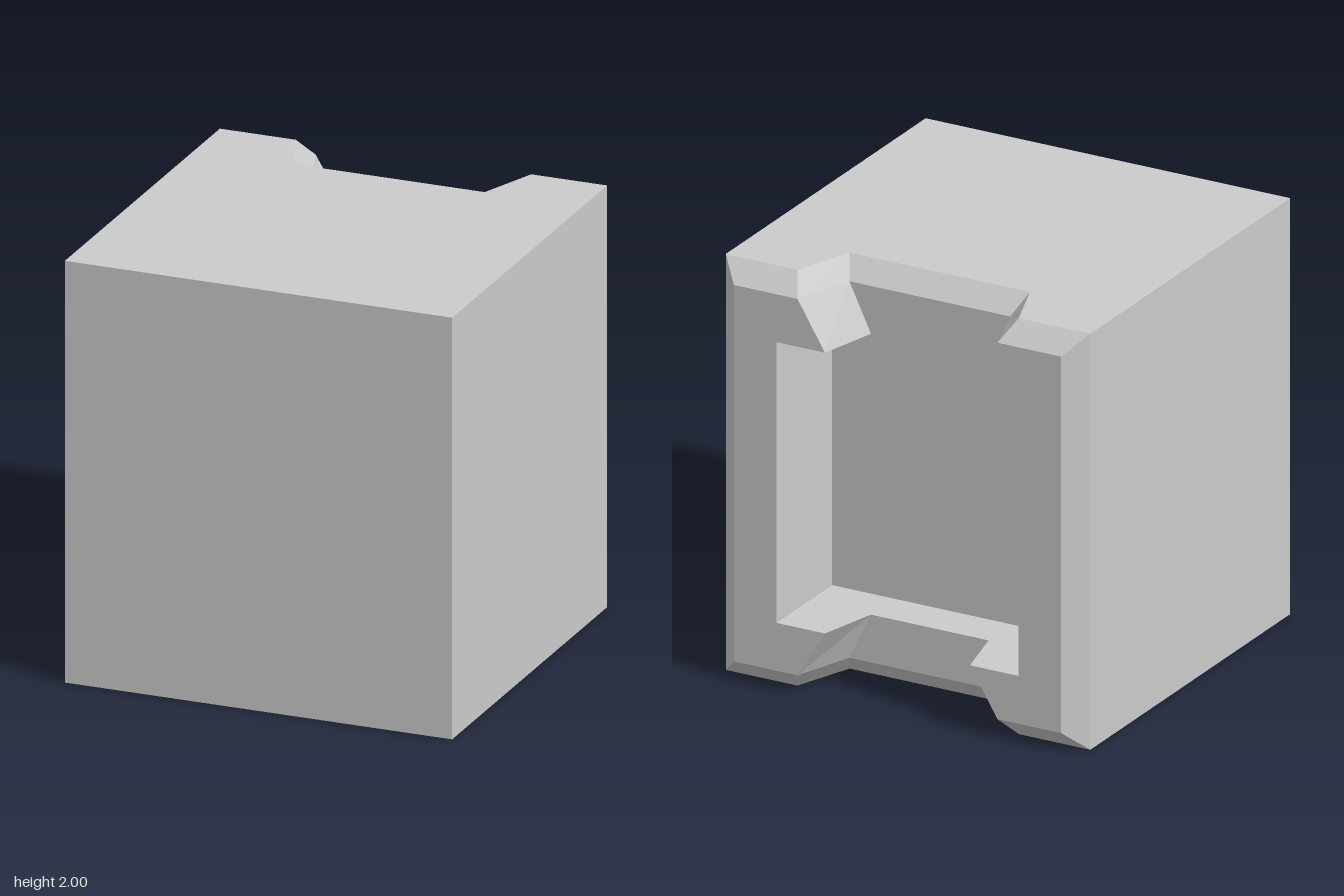
import * as THREE from 'three';

// Right half of each plan outline as [x, z], from the front corner round to the back notch
const side = [[0.93, 0.945], [0.93, -0.85]];
const back = [...side, [0.835, -0.945]];
const rim = [...side, [0.93, -0.85], [0.565, -0.85], [0.46, -0.565]]; // outline of the top and bottom faces
const bevel = [...back, [0.51, -0.945], [0.41, -0.655]];              // foot of the bevel
const ledge = [...back, [0.37, -0.945], [0.30, -0.655]];              // narrow end of the notch
const recess = [...back, [0.617, -0.945], [0.617, -0.445]];           // deep pocket in the back

// Mirror a half outline in x and place it at height y
function ring(half, y) {
  const mirrored = half.map(([x, z]) => [-x, z]).reverse();
  return [...half, ...mirrored].map(([x, z]) => new THREE.Vector3(x, y, z));
}

// Join rings, bottom to top, with flat faces and close both ends
function loft(rings) {
  const pos = [];
  const tri = (a, b, c) => {
    if (new THREE.Triangle(a, b, c).getArea() > 1e-7) {
      for (const v of [a, b, c]) pos.push(v.x, v.y, v.z);
    }
  };
  for (let k = 0; k < rings.length - 1; k++) {
    const lo = rings[k], hi = rings[k + 1];
    lo.forEach((a, i) => {
      const j = (i + 1) % lo.length;
      tri(a, lo[j], hi[j]);
      tri(a, hi[j], hi[i]);
    });
  }
  const cap = (r, up) => {
    const flat = r.map((v) => new THREE.Vector2(v.x, -v.z));
    for (const [a, b, c] of THREE.ShapeUtils.triangulateShape(flat, [])) {
      if (up) tri(r[a], r[b], r[c]);
      else tri(r[a], r[c], r[b]);
    }
  };
  cap(rings[0], false);
  cap(rings[rings.length - 1], true);
  const geometry = new THREE.BufferGeometry();
  geometry.setAttribute('position', new THREE.Float32BufferAttribute(pos, 3));
  geometry.computeVertexNormals();
  return geometry;
}

export function createModel() {
  const group = new THREE.Group();
  group.name = 'notchedBlock';

  // Lower half levels, then the same levels mirrored for the upper half
  const levels = [[rim, 0], [bevel, 0.095], [ledge, 0.325], [recess, 0.325]];
  const upper = levels.map(([half, y]) => [half, 2 - y]).reverse();
  const rings = [...levels, ...upper].map(([half, y]) => ring(half, y));

  const material = new THREE.MeshStandardMaterial({ color: 0xcccccc, flatShading: true });
  const block = new THREE.Mesh(loft(rings), material);
  block.name = 'blockWithBackRecess';
  group.add(block);
  return group;
}
